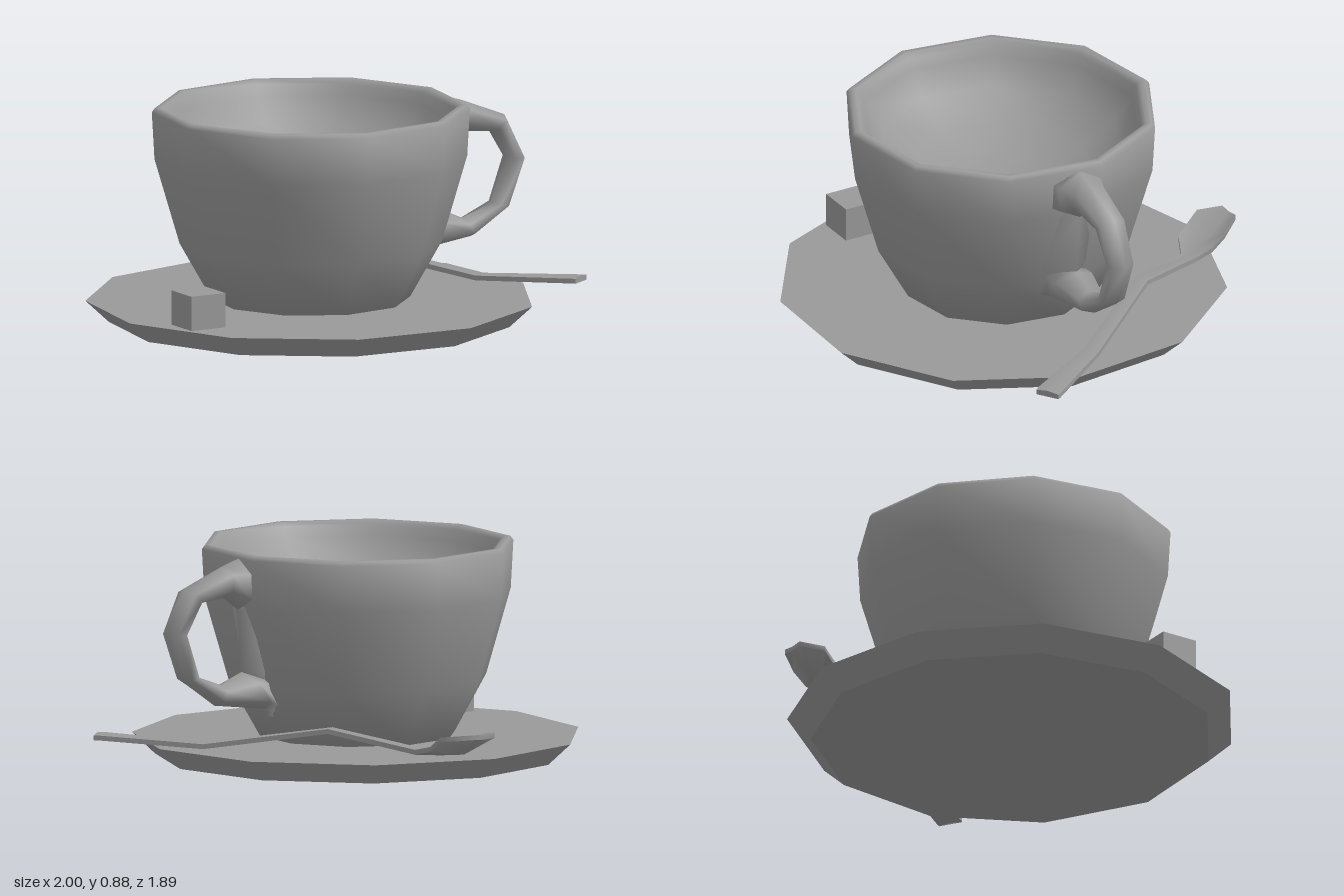
import * as THREE from 'three';
import { toCreasedNormals } from 'three/addons/utils/BufferGeometryUtils.js';

const grey = new THREE.MeshStandardMaterial({ color: 0x999999 });
const flatGrey = new THREE.MeshStandardMaterial({ color: 0x999999, flatShading: true });
const doubleGrey = new THREE.MeshStandardMaterial({ color: 0x999999, side: THREE.DoubleSide });

function addMesh(group, name, geometry, material, x = 0, y = 0, z = 0) {
  const mesh = new THREE.Mesh(geometry, material);
  mesh.name = name;
  mesh.position.set(x, y, z);
  group.add(mesh);
}

// Skins a row of cross-section loops (counter-clockwise about the travel direction) and caps both ends
function loft(sections) {
  const n = sections[0].length;
  const last = (sections.length - 1) * n;
  const index = [];
  for (let k = 0; k < last; k += n) {
    for (let i = 0; i < n; i++) {
      const j = (i + 1) % n;
      index.push(k + i, k + j, k + n + j, k + i, k + n + j, k + n + i);
    }
  }
  for (let i = 1; i < n - 1; i++) {
    index.push(0, i + 1, i, last, last + i, last + i + 1);
  }
  const geometry = new THREE.BufferGeometry();
  geometry.setAttribute('position', new THREE.Float32BufferAttribute(sections.flat(2), 3));
  geometry.setIndex(index);
  geometry.computeVertexNormals();
  return geometry;
}

// Handle ring: inner and outer edge points in the xy plane, and half width in z
function handleSection([ix, iy, ox, oy, width]) {
  const ring = [];
  for (let i = 0; i < 6; i++) {
    const a = (i / 6) * Math.PI * 2;
    const t = (1 + Math.cos(a)) / 2;
    ring.push([ix + (ox - ix) * t, iy + (oy - iy) * t, Math.sin(a) * width]);
  }
  return ring;
}

// Mount section: a ridge point standing out from a wider foot inside the cup wall
function mountSection([ridge, y, foot, width]) {
  return [[foot, y, width], [ridge, y, 0], [foot, y, -width]];
}

// Spoon section: left and right edge in xz, height of the edges and of the middle
function spoonSection([lx, lz, rx, rz, edge, mid]) {
  const t = 0.02;
  const mx = (lx + rx) / 2, mz = (lz + rz) / 2;
  return [
    [rx, edge - t, rz], [rx, edge, rz], [mx, mid, mz],
    [lx, edge, lz], [lx, edge - t, lz], [mx, mid - t, mz],
  ];
}

export function createModel() {
  const model = new THREE.Group();

  // Saucer: solid eleven-sided disc with a slanted edge
  const saucer = new THREE.CylinderGeometry(0.92, 0.825, 0.088, 11, 1, false, 0.255);
  addMesh(model, 'saucer', saucer, flatGrey, -0.085, 0.044, 0.05);

  // Cup: ten-sided wall, rounded lip and a shallow rounded inside
  const profile = [
    [0, 0.09], [0.405, 0.09], [0.535, 0.32], [0.637, 0.67], [0.648, 0.865],
    [0.635, 0.882], [0.61, 0.882], [0.59, 0.865], [0.575, 0.82],
    [0.5, 0.72], [0.36, 0.62], [0.18, 0.56], [0, 0.545],
  ].map(([r, y]) => new THREE.Vector2(r, y));
  const cup = toCreasedNormals(new THREE.LatheGeometry(profile, 10, -0.154), 1.2);
  addMesh(model, 'cup', cup, grey, -0.087, 0, 0.052);

  // Cup handle: angular loop that flares into the wall
  const handle = loft([
    [0.5, 0.65, 0.5, 0.87, 0.13],
    [0.545, 0.655, 0.55, 0.86, 0.11],
    [0.62, 0.71, 0.62, 0.84, 0.08],
    [0.755, 0.695, 0.825, 0.76, 0.065],
    [0.825, 0.58, 0.915, 0.58, 0.058],
    [0.765, 0.4, 0.835, 0.385, 0.06],
    [0.625, 0.35, 0.665, 0.27, 0.065],
    [0.525, 0.395, 0.41, 0.235, 0.1],
    [0.45, 0.41, 0.33, 0.18, 0.1],
  ].map(handleSection));
  addMesh(model, 'cupHandle', handle, grey, 0, 0, 0.05);

  // Handle mount: raised ridge on the wall joining both handle ends
  const mount = loft([
    [0.39, 0.2, 0.33, 0.03],
    [0.525, 0.4, 0.42, 0.13],
    [0.545, 0.65, 0.48, 0.13],
    [0.55, 0.84, 0.5, 0.12],
  ].map(mountSection));
  addMesh(model, 'handleMount', mount, grey, 0, 0, 0.05);

  // Spoon: dished bowl at the back, bent stem widening to a blunt end
  const spoon = loft([
    [0, -0.94, 0.1, -0.945, 0.208, 0.203],
    [-0.042, -0.845, 0.2, -0.835, 0.195, 0.135],
    [0.04, -0.71, 0.205, -0.775, 0.15, 0.125],
    [0.155, -0.655, 0.215, -0.69, 0.13, 0.13],
    [0.35, -0.325, 0.4, -0.355, 0.195, 0.198],
    [0.66, 0.1, 0.715, 0.06, 0.115, 0.12],
    [0.9, 0.455, 0.99, 0.4, 0.138, 0.145],
    [0.915, 0.47, 1, 0.415, 0.138, 0.145],
  ].map(spoonSection));
  addMesh(model, 'spoon', toCreasedNormals(spoon, 1.2), doubleGrey);

  // Sugar cube resting on the saucer
  addMesh(model, 'sugarCube', new THREE.BoxGeometry(0.16, 0.15, 0.16), flatGrey, -0.785, 0.155, 0.34);

  return model;
}
